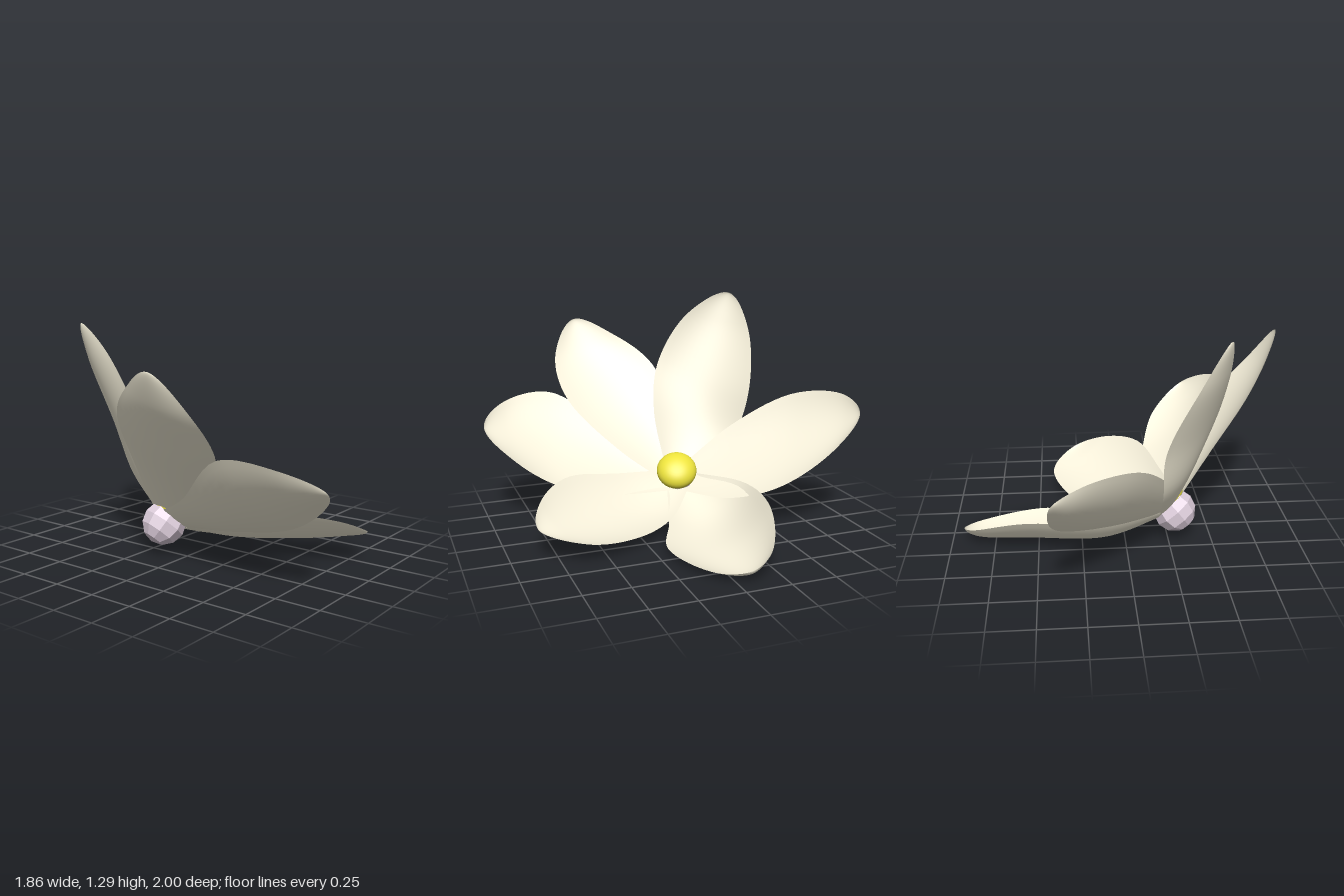
import * as THREE from 'three';

const V = (p) => new THREE.Vector3(...p);
const HEART = V([-0.245, 0.2, -0.14]); // where all petals meet
const AXIS = V([0.64, 0.74, 0.22]).normalize(); // direction the flower faces
const ROOT = 0.085; // half width of a petal where it joins the heart

// Each petal: outline up one edge, round the tip, down the other edge
const PETALS = [
  { name: 'leftPetal', cup: 0.21, outline: [
    [0.12, 0.25, -0.40], [0.57, 0.24, -0.35], [0.87, 0.13, -0.20], [0.93, 0.08, -0.07],
    [0.84, 0.05, 0.07], [0.47, 0.05, 0.20], [0.13, 0.07, 0.07]] },
  { name: 'backLeftPetal', cup: 0.13, outline: [
    [-0.19, 0.53, -0.48], [0.00, 0.73, -0.78], [0.25, 0.76, -0.97], [0.40, 0.68, -0.99],
    [0.43, 0.50, -0.83], [0.36, 0.29, -0.54], [0.17, 0.18, -0.31]] },
  { name: 'backPetal', cup: 0.13, outline: [
    [-0.43, 0.60, -0.04], [-0.54, 0.88, -0.11], [-0.55, 1.17, -0.31], [-0.48, 1.30, -0.56],
    [-0.34, 1.10, -0.63], [-0.18, 0.73, -0.57], [-0.18, 0.43, -0.46]] },
  { name: 'rightPetal', cup: 0.10, outline: [
    [-0.47, 0.56, -0.19], [-0.68, 0.85, -0.11], [-0.83, 1.02, 0.09], [-0.93, 1.12, 0.33],
    [-0.82, 0.92, 0.48], [-0.61, 0.68, 0.47], [-0.36, 0.38, 0.21]] },
  { name: 'frontRightPetal', cup: 0.12, outline: [
    [-0.47, 0.40, 0.14], [-0.68, 0.70, 0.54], [-0.64, 0.68, 0.84], [-0.47, 0.57, 1.00],
    [-0.27, 0.41, 0.87], [-0.18, 0.26, 0.64], [-0.14, 0.18, 0.32]] },
  { name: 'frontPetal', cup: 0.14, outline: [
    [-0.245, 0.27, 0.25], [-0.13, 0.32, 0.59], [0.07, 0.27, 0.79], [0.27, 0.18, 0.85],
    [0.41, 0.12, 0.62], [0.32, 0.08, 0.32], [0.12, 0.085, 0.05]] },
];

// Span the outline with parabolic cross-sections that sag away from the flower's face
function petalGeometry({ outline, cup }, rows = 40, cols = 16) {
  const points = outline.map(V);
  const across = points[5].clone().sub(points[1]).normalize();
  const normal = points[3].clone().sub(HEART).cross(across).normalize();
  if (normal.dot(AXIS) < 0) normal.negate();
  const root = (side) => HEART.clone().addScaledVector(across, side * ROOT);
  const rim = new THREE.CatmullRomCurve3([root(-1), ...points, root(1)]);

  const positions = [], index = [];
  for (let i = 0; i <= rows; i++) {
    const t = Math.sin((i / rows) * Math.PI / 2);
    const a = rim.getPoint(t / 2), b = rim.getPoint(1 - t / 2);
    const sag = cup * a.distanceTo(b);
    for (let j = 0; j <= cols; j++) {
      const s = j / cols;
      const p = a.clone().lerp(b, s).addScaledVector(normal, -sag * 4 * s * (1 - s));
      positions.push(p.x, p.y, p.z);
      if (i < rows && j < cols) {
        const k = i * (cols + 1) + j, n = k + cols + 1;
        index.push(k, k + 1, n, k + 1, n + 1, n);
      }
    }
  }
  const geometry = new THREE.BufferGeometry();
  geometry.setAttribute('position', new THREE.Float32BufferAttribute(positions, 3));
  geometry.setIndex(index);
  geometry.computeVertexNormals();
  return geometry;
}

export function createModel() {
  const flower = new THREE.Group();
  flower.name = 'flower';
  const add = (name, geometry, material) => {
    const mesh = new THREE.Mesh(geometry, material);
    mesh.name = name;
    flower.add(mesh);
    return mesh;
  };

  // Petals
  const cream = new THREE.MeshStandardMaterial({ color: 0xfaf4de, side: THREE.DoubleSide });
  for (const petal of PETALS) add(petal.name, petalGeometry(petal), cream);

  // Flattened yellow centre, facing along the flower's axis
  const facing = new THREE.Quaternion().setFromUnitVectors(new THREE.Vector3(0, 1, 0), AXIS);
  const centre = add('centre', new THREE.SphereGeometry(1, 32, 20),
    new THREE.MeshStandardMaterial({ color: 0xece23c }));
  centre.scale.set(0.122, 0.075, 0.122);
  centre.quaternion.copy(facing);
  centre.position.set(-0.23, 0.253, -0.115);

  // Faceted bud base behind the petals
  const base = add('budBase', new THREE.SphereGeometry(0.125, 9, 6),
    new THREE.MeshStandardMaterial({ color: 0xe0d0de, flatShading: true }));
  base.quaternion.copy(facing);
  base.position.set(-0.285, 0.185, -0.14);

  return flower;
}
